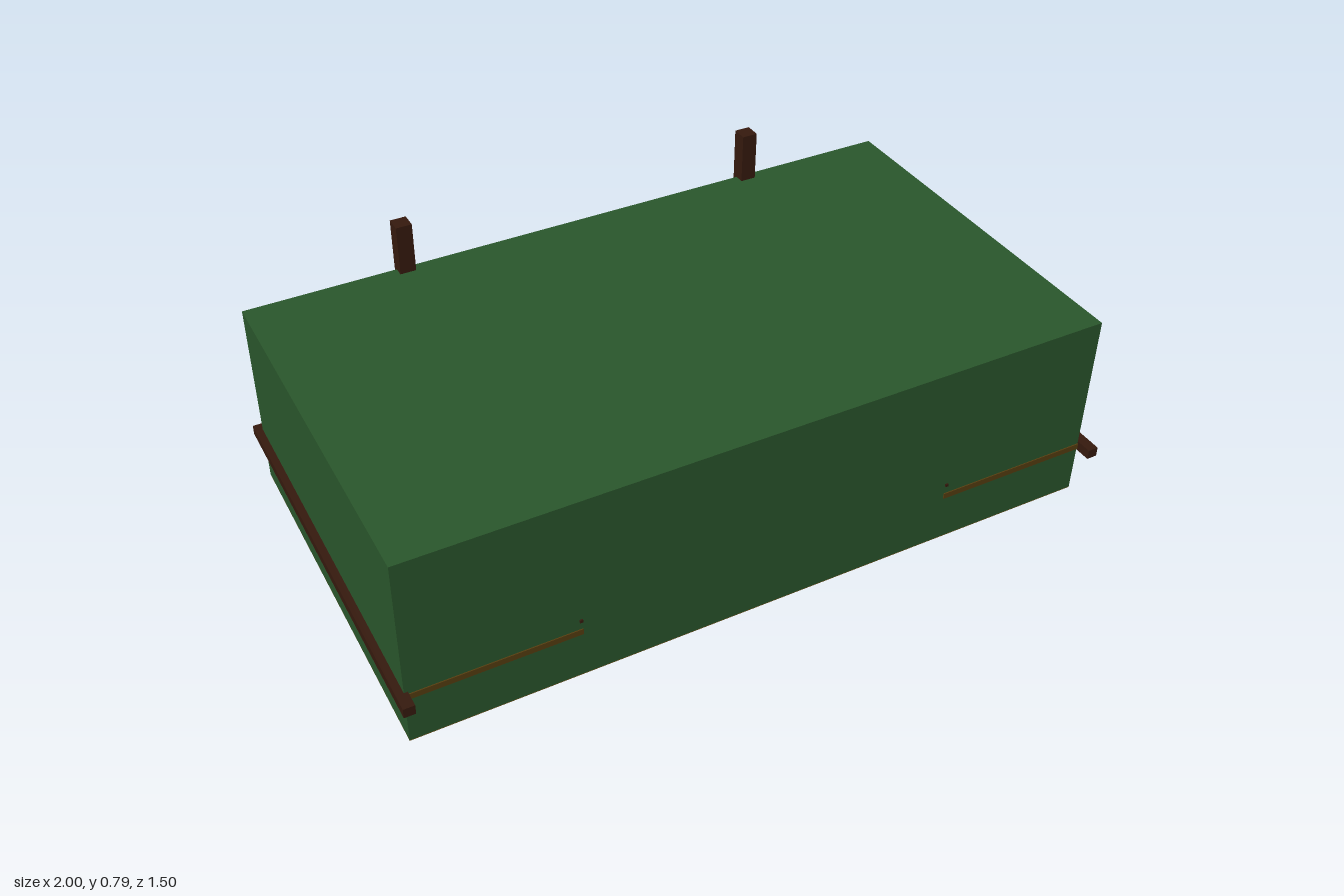
import * as THREE from 'three';

const paint = (color) => new THREE.MeshStandardMaterial({ color });
const green = paint(0x2a572c);
const wood = paint(0x361a0e);
const plank = paint(0x573e10);
const dark = paint(0x15100c);
plank.side = THREE.DoubleSide;

export function createModel() {
  const model = new THREE.Group();

  // Box given by its limits along each axis
  function block(name, material, [x0, x1], [y0, y1], [z0, z1]) {
    const mesh = new THREE.Mesh(new THREE.BoxGeometry(x1 - x0, y1 - y0, z1 - z0), material);
    mesh.position.set((x0 + x1) / 2, (y0 + y1) / 2, (z0 + z1) / 2);
    mesh.name = name;
    model.add(mesh);
    return mesh;
  }

  // Large green body
  block('body', green, [-0.98, 0.97], [0.088, 0.645], [-0.373, 0.702]);

  // Thin floor with a landing that projects at the back
  const outline = new THREE.Shape([
    [-0.98, -0.702], [0.97, -0.702], [0.97, 0.378], [0.355, 0.378],
    [0.355, 0.755], [-0.355, 0.755], [-0.355, 0.378], [-0.98, 0.378],
  ].map(([x, y]) => new THREE.Vector2(x, y)));
  const floor = new THREE.Mesh(new THREE.ShapeGeometry(outline), plank);
  floor.name = 'floor';
  floor.rotation.x = -Math.PI / 2;
  floor.position.y = 0.086;
  model.add(floor);

  // Rail along the middle of the back
  block('backRail', wood, [-0.51, 0.51], [0.222, 0.248], [-0.386, -0.37]);

  for (const side of [-1, 1]) {
    const span = (a, b) => (side > 0 ? [a, b] : [-b, -a]);

    // Tall rear posts and the side, back and front rails
    block('post', wood, span(0.507, 0.552), [0, 0.79], [-0.39, -0.345]);
    block('sideRail', wood, span(0.97, 1), [0.222, 0.25], [-0.4, 0.748]);
    block('backOuterRail', wood, span(0.505, 0.985), [0.222, 0.248], [-0.395, -0.37]);
    block('frontRail', plank, span(0.525, 0.98), [0.226, 0.243], [0.69, 0.705]);
    block('frontPeg', wood, span(0.526, 0.534), [0.267, 0.275], [0.69, 0.706]);

    // Row of pegs under the floor
    for (let i = 0; i < 5; i++) {
      const z = 0.553 - i * 0.215;
      block('floorPeg', wood, span(0.526, 0.534), [0.07, 0.09], [z - 0.004, z + 0.004]);
    }

    // Gate posts and panes at the back
    block('gatePost', wood, span(0.062, 0.077), [0.076, 0.225], [-0.388, -0.365]);
    block('gatePane', dark, span(0.008, 0.047), [0.125, 0.165], [-0.385, -0.37]);
  }

  // Gate panel
  block('gatePanel', plank, [-0.062, 0.062], [0.1, 0.218], [-0.382, -0.365]);

  // Small studs on the back wall
  for (let i = 0; i < 5; i++) {
    const x = 0.21 + i * 0.04;
    block('stud', dark, [x - 0.003, x + 0.003], [0.187, 0.193], [-0.376, -0.37]);
  }

  return model;
}
